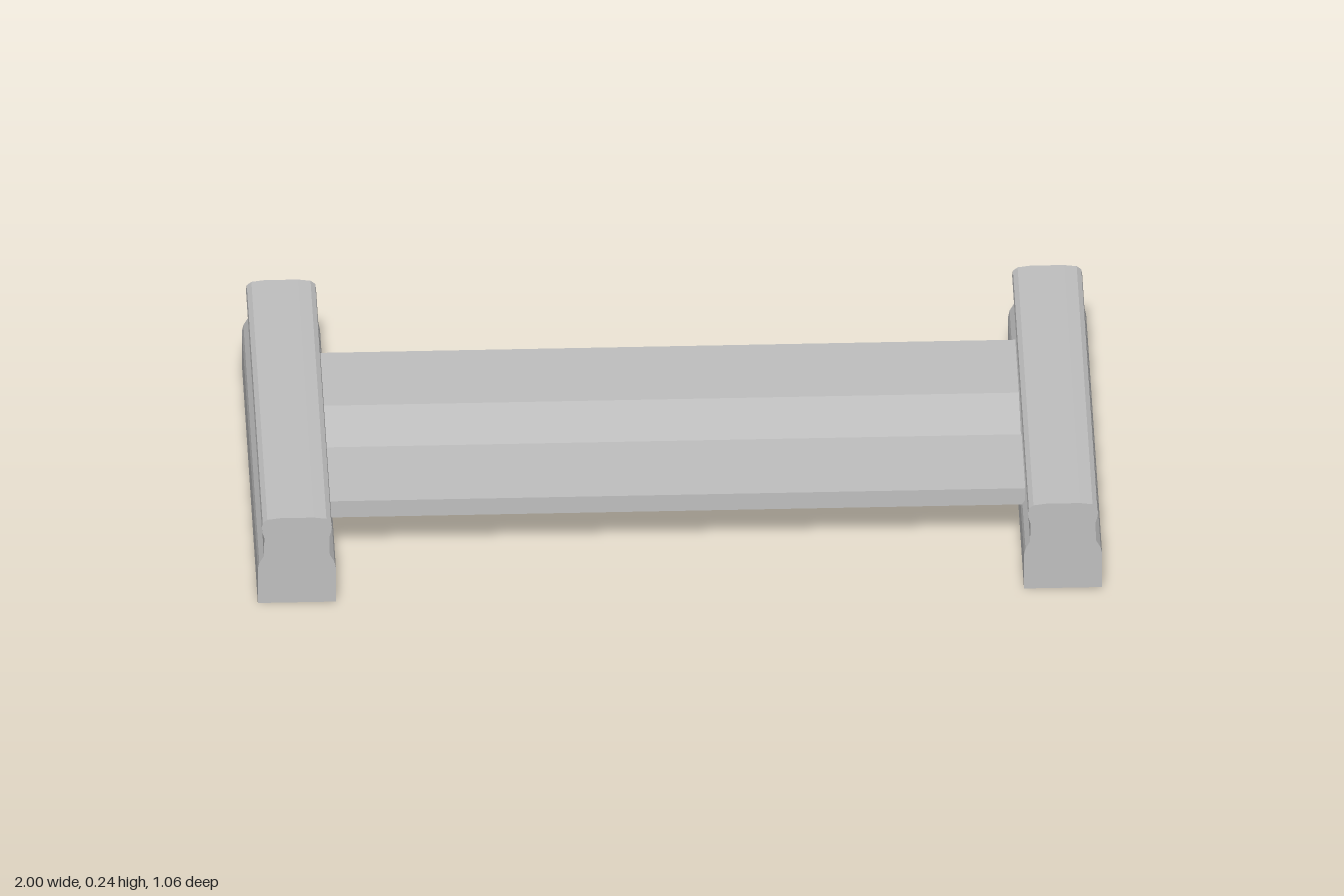
import * as THREE from 'three';

// Extrudes a closed outline, centred along its length
function bar(name, points, length, material) {
  const shape = new THREE.Shape(points.map(([x, y]) => new THREE.Vector2(x, y)));
  const geometry = new THREE.ExtrudeGeometry(shape, { depth: length, bevelEnabled: false });
  geometry.translate(0, 0, -length / 2);
  const mesh = new THREE.Mesh(geometry, material);
  mesh.name = name;
  return mesh;
}

export function createModel() {
  const model = new THREE.Group();
  model.name = 'rack';
  const grey = new THREE.MeshStandardMaterial({ color: 0xbfbfbf });
  grey.name = 'grey';

  // Side rails: wide foot, narrow neck, rounded head
  const half = [
    [0.0925, 0], [0.0925, 0.095], [0.089, 0.112], [0.078, 0.131], [0.077, 0.18],
    [0.081, 0.195], [0.083, 0.21], [0.081, 0.223], [0.07, 0.232], [0.04, 0.236],
  ];
  const railOutline = [...half, ...half.map(([x, y]) => [-x, y]).reverse()];
  for (const side of [1, -1]) {
    const rail = bar(side > 0 ? 'leftRail' : 'rightRail', railOutline, 1.058, grey);
    rail.position.x = side * 0.9075;
    model.add(rail);
  }

  // Cross deck: two boards joined by a thin sloping web, as [-z, y]
  const deckOutline = [
    [-0.33, 0.11], [-0.09, 0.11], [0.095, 0.151], [0.095, 0.11], [0.33, 0.11],
    [0.33, 0.155], [0.095, 0.155], [-0.09, 0.114], [-0.09, 0.155], [-0.33, 0.155],
  ];
  const deck = bar('crossDeck', deckOutline, 1.65, grey);
  deck.rotation.y = Math.PI / 2;
  model.add(deck);

  return model;
}
